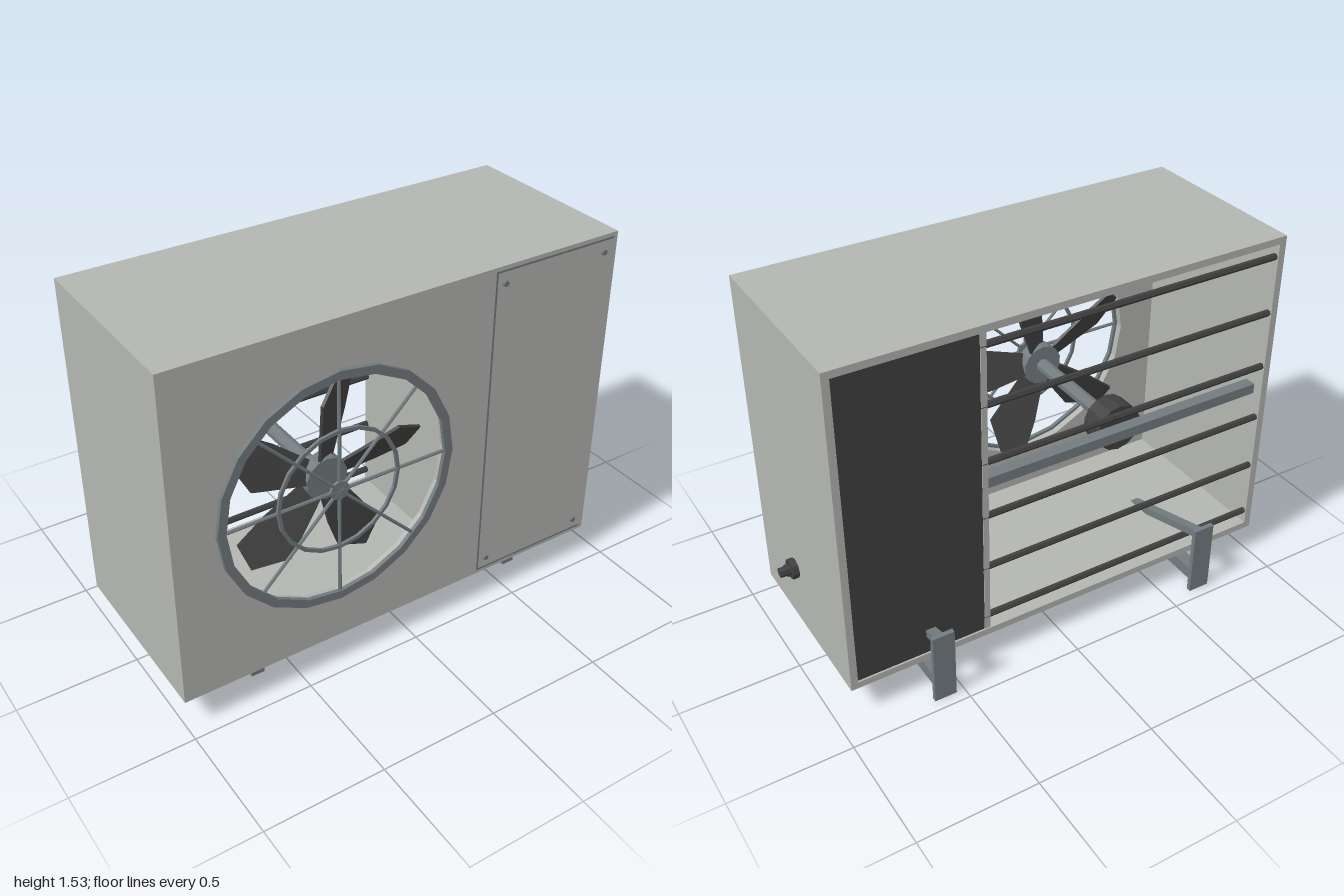
import * as THREE from 'three';

const mat = (name, color) => Object.assign(new THREE.MeshStandardMaterial({ color }), { name });

export function createModel() {
  const root = new THREE.Group();
  root.name = 'outdoorFanUnit';
  const paint = mat('casing grey', 0xb3b5b1);
  const steel = mat('steel grey', 0x727b7f);
  const dark = mat('charcoal', 0x404040);

  const add = (name, geo, material, x = 0, y = 0, z = 0, parent = root) => {
    const m = new THREE.Mesh(geo, material);
    m.name = name;
    m.position.set(x, y, z);
    parent.add(m);
    return m;
  };
  // Box given by its two opposite corners
  const box = (name, material, [x0, y0, z0], [x1, y1, z1], parent) =>
    add(name, new THREE.BoxGeometry(x1 - x0, y1 - y0, z1 - z0), material,
      (x0 + x1) / 2, (y0 + y1) / 2, (z0 + z1) / 2, parent);
  // Faceted cylinders along x and z
  const flat = (r, h, sides) => new THREE.CylinderGeometry(r, r, h, sides).toNonIndexed();
  const cyl = (r, h, sides, axis) => {
    const g = flat(r, h, sides);
    if (axis === 'x') g.rotateZ(-Math.PI / 2);
    if (axis === 'z') g.rotateX(Math.PI / 2);
    g.computeVertexNormals();
    return g;
  };
  const polygon = (P, r, sides) => {
    const p = new P();
    for (let i = 0; i < sides; i++) {
      const a = (i / sides) * Math.PI * 2;
      p[i ? 'lineTo' : 'moveTo'](r * Math.cos(a), r * Math.sin(a));
    }
    p.closePath();
    return p;
  };
  const annulus = (outer, inner, depth) => {
    const s = polygon(THREE.Shape, outer, 20);
    s.holes.push(polygon(THREE.Path, inner, 20));
    return new THREE.ExtrudeGeometry(s, { depth, bevelEnabled: false });
  };

  const X0 = -1, X1 = 0.93, Y0 = 0.13, Y1 = 1.53, ZB = -0.355, ZF = 0.435, T = 0.03;
  const FX = -0.327, FY = 0.83;

  // Casing, open at the back
  const front = new THREE.Shape();
  front.moveTo(X0 - FX, Y0 - FY).lineTo(X1 - FX, Y0 - FY);
  front.lineTo(X1 - FX, Y1 - FY).lineTo(X0 - FX, Y1 - FY).closePath();
  front.holes.push(polygon(THREE.Path, 0.48, 20));
  add('frontPanel', new THREE.ExtrudeGeometry(front, { depth: T, bevelEnabled: false }),
    paint, FX, FY, ZF - T);
  box('topPanel', paint, [X0, Y1 - T, ZB], [X1, Y1, ZF - T]);
  box('bottomPanel', paint, [X0, Y0, ZB], [X1, Y0 + T, ZF - T]);
  box('rightPanel', paint, [X0, Y0 + T, ZB], [X0 + T, Y1 - T, ZF - T]);
  box('leftPanel', paint, [X1 - T, Y0 + T, ZB], [X1, Y1 - T, ZF - T]);
  box('divider', paint, [0.32, Y0 + T, ZB + 0.005], [0.345, Y1 - T, ZF - T]);
  box('rearCover', dark, [0.345, Y0 + T, ZB + 0.008], [X1 - T, Y1 - T, ZB + 0.03]);

  // Service panel seams and screws
  box('seamSide', steel, [0.348, 0.146, ZF], [0.356, 1.514, ZF + 0.002]);
  for (const y of [0.15, 1.51])
    box('seamEdge', steel, [0.356, y - 0.004, ZF], [0.91, y + 0.004, ZF + 0.002]);
  for (const x of [0.39, 0.865])
    for (const y of [0.2, 1.46]) add('screw', cyl(0.012, 0.012, 8, 'z'), steel, x, y, ZF + 0.005);

  // Fan guard
  const guard = new THREE.Group();
  guard.name = 'fanGuard';
  guard.position.set(FX, FY, ZF);
  root.add(guard);
  add('outerRing', annulus(0.503, 0.468, 0.017), steel, 0, 0, 0, guard);
  add('innerRing', annulus(0.263, 0.249, 0.012), steel, 0, 0, 0.001, guard);
  add('guardCentre', cyl(0.042, 0.012, 8, 'z'), steel, 0, 0, 0.007, guard);
  for (let i = 0; i < 4; i++) {
    const spoke = add('spoke', cyl(0.007, 0.96, 6, 'x'), steel, 0, 0, 0.007, guard);
    spoke.rotation.z = (i * Math.PI) / 4;
  }

  // Fan with five pitched blades
  const fan = new THREE.Group();
  fan.name = 'fan';
  fan.position.set(FX, FY, 0.33);
  root.add(fan);
  add('fanHub', cyl(0.088, 0.06, 14, 'z'), steel, 0, 0, 0, fan);
  const blade = new THREE.Shape([
    [0.06, 0.045], [0.06, -0.045], [0.25, -0.085], [0.395, -0.1], [0.44, 0], [0.32, 0.097],
  ].map(([x, y]) => new THREE.Vector2(x, y)));
  const bladeGeo = new THREE.ExtrudeGeometry(blade, { depth: 0.012, bevelEnabled: false });
  bladeGeo.translate(0, 0, -0.006).rotateX(0.5);
  for (let i = 0; i < 5; i++)
    add('fanBlade', bladeGeo, dark, 0, 0, 0, fan).rotation.z = ((8 + i * 72) * Math.PI) / 180;

  // Motor, shaft and its crossbar
  add('shaft', cyl(0.03, 0.5, 10, 'z'), steel, FX, FY, 0.07);
  add('motor', cyl(0.1, 0.1, 14, 'z'), dark, FX, FY, -0.21);
  box('motorCrossbar', steel, [X0 + T, FY - 0.022, -0.31], [0.32, FY + 0.022, -0.26]);

  // Rear guard bars
  for (let i = 0; i < 6; i++)
    add('rearBar', cyl(0.014, 1.315, 6, 'x'), dark, -0.3125, 0.2175 + i * 0.245, ZB + 0.018);

  // Pipe connector on the left side
  add('connectorFlange', cyl(0.042, 0.026, 8, 'x'), dark, 0.943, 0.405, 0.105);
  add('connectorPipe', cyl(0.02, 0.06, 8, 'x'), dark, 0.968, 0.405, 0.105);
  add('connectorLip', cyl(0.025, 0.01, 8, 'x'), dark, 0.968, 0.405, 0.105);

  // Wall brackets
  for (const x of [-0.655, 0.582]) {
    const bracket = new THREE.Group();
    bracket.name = 'wallBracket';
    bracket.position.x = x;
    root.add(bracket);
    box('wallPlate', steel, [-0.047, 0, -0.453], [0.047, 0.32, -0.433], bracket);
    box('supportArm', steel, [-0.028, 0.036, -0.433], [0.028, 0.09, 0.365], bracket);
    const a = [0.26, 0.075], b = [-0.435, 0.283];
    const dz = a[0] - b[0], dy = b[1] - a[1];
    const strut = add('strut', new THREE.BoxGeometry(0.04, 0.033, Math.hypot(dz, dy)), steel,
      0, (a[1] + b[1]) / 2, (a[0] + b[0]) / 2, bracket);
    strut.rotation.x = Math.atan2(dy, dz);
    add('rubberPad', cyl(0.048, 0.042, 12), dark, 0, 0.11, 0, bracket);
    add('plateBolt', cyl(0.012, 0.012, 6, 'z'), dark, 0, 0.25, -0.428, bracket);
  }
  return root;
}
